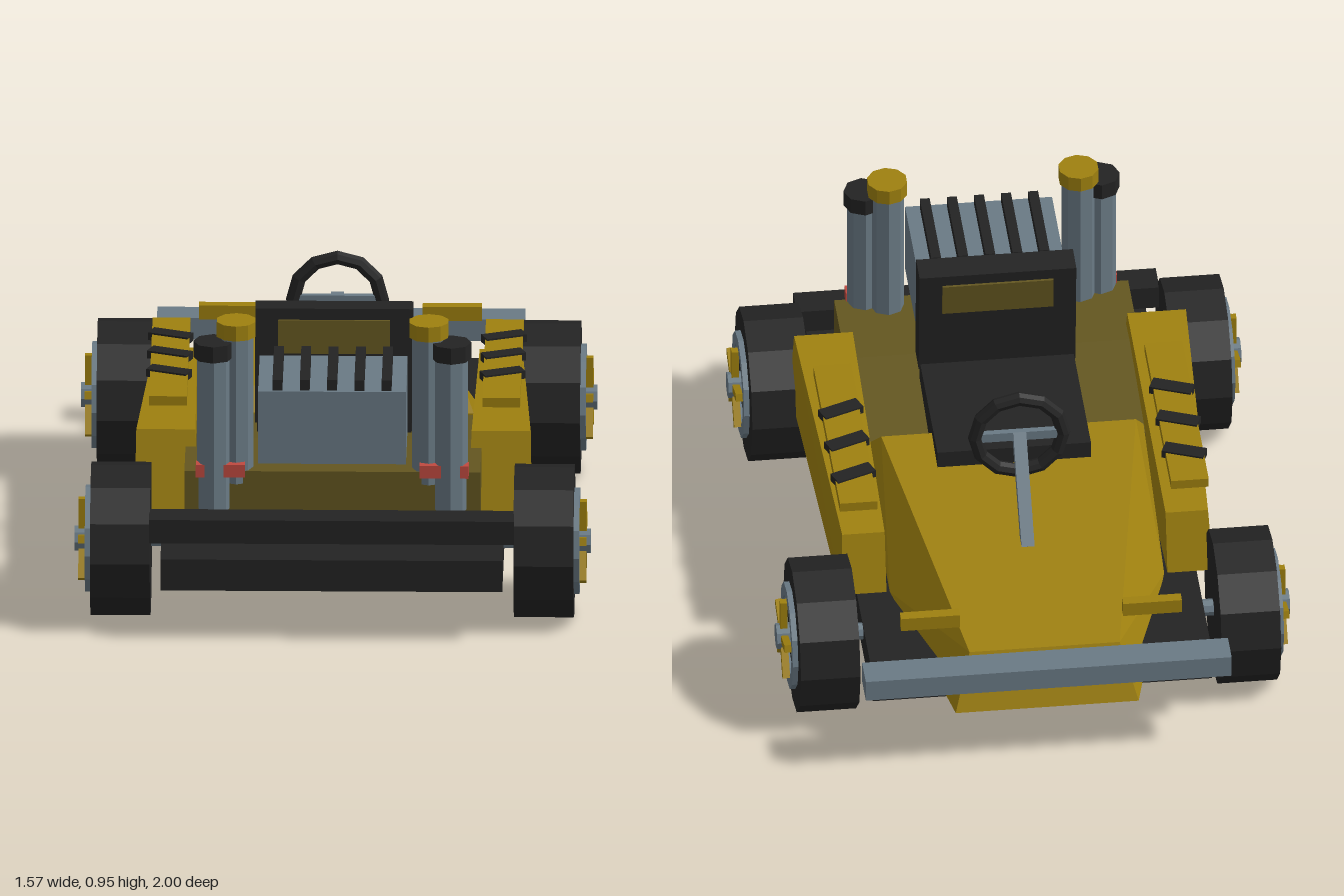
import * as THREE from 'three';
import { ConvexGeometry } from 'three/addons/geometries/ConvexGeometry.js';

const mat = (name, color) => {
  const m = new THREE.MeshStandardMaterial({ color });
  m.name = name;
  return m;
};

export function createModel() {
  const yellow = mat('yellow', 0x9e800f);
  const olive = mat('olive', 0x635620);
  const black = mat('black', 0x232323);
  const slate = mat('slate', 0x6a7a85);
  const red = mat('red', 0xc04a40);

  const root = new THREE.Group();
  root.name = 'goKart';

  // flat-faced mesh helpers
  const add = (name, geo, material, parent = root) => {
    const g = geo.index ? geo.toNonIndexed() : geo;
    g.computeVertexNormals();
    const m = new THREE.Mesh(g, material);
    m.name = name;
    parent.add(m);
    return m;
  };
  // box given by its min and max on each axis
  const box = (name, material, x0, x1, y0, y1, z0, z1, parent) => {
    const m = add(name, new THREE.BoxGeometry(x1 - x0, y1 - y0, z1 - z0), material, parent);
    m.position.set((x0 + x1) / 2, (y0 + y1) / 2, (z0 + z1) / 2);
    return m;
  };
  const post = (name, material, r, y0, y1, x, z, sides = 8) => {
    const m = add(name, new THREE.CylinderGeometry(r, r, y1 - y0, sides), material);
    m.position.set(x, (y0 + y1) / 2, z);
    return m;
  };
  const hull = (name, material, pts) =>
    add(name, new ConvexGeometry(pts.map((p) => new THREE.Vector3(...p))), material);
  const bothSides = (pts) => pts.flatMap(([x, y, z]) => [[x, y, z], [-x, y, z]]);

  // floor pan and bumpers
  box('floorPan', black, -0.52, 0.52, 0.165, 0.265, -0.83, 1.0);
  box('engineEndBumper', black, -0.555, 0.555, 0.31, 0.385, 0.88, 0.98);
  box('noseBumper', slate, -0.56, 0.56, 0.295, 0.365, -1.0, -0.9);

  // hood tapering to the nose
  hull('hood', yellow, bothSides([
    [0.23, 0.37, -0.89], [0.39, 0.495, 0.07],
    [0.28, 0.195, -0.96], [0.28, 0.195, -0.83],
    [0.42, 0.27, -0.42], [0.42, 0.27, 0.13], [0.42, 0.43, 0.13],
  ]));

  // cockpit floor and engine bay
  hull('engineBay', olive, bothSides([
    [0.45, 0.28, 0.1], [0.45, 0.42, 0.1], [0.45, 0.48, 0.5],
    [0.45, 0.48, 0.8], [0.45, 0.28, 0.8],
  ]));

  // seat
  box('seatCushion', black, -0.235, 0.235, 0.43, 0.53, -0.08, 0.4);
  const seatBack = new THREE.Group();
  seatBack.name = 'seatBack';
  seatBack.position.set(0, 0.695, 0.41);
  seatBack.rotation.x = -0.07;
  root.add(seatBack);
  box('backrest', black, -0.24, 0.24, -0.18, 0.18, -0.045, 0.045, seatBack);
  box('backrestPanel', olive, -0.17, 0.17, 0.04, 0.145, -0.053, 0.053, seatBack);

  // engine block with cooling fins
  box('engineBlock', slate, -0.225, 0.225, 0.53, 0.763, 0.545, 0.87);
  for (let i = -2; i <= 2; i++) {
    box('engineFin', black, i * 0.083 - 0.015, i * 0.083 + 0.015, 0.76, 0.797, 0.555, 0.86);
  }

  // steering wheel, spoke and column
  const steering = add('steeringWheel', new THREE.TorusGeometry(0.135, 0.022, 8, 12), black);
  steering.position.set(0, 0.675, -0.21);
  box('steeringSpoke', slate, -0.125, 0.125, 0.66, 0.69, -0.22, -0.2);
  const column = add('steeringColumn', new THREE.BoxGeometry(0.04, 0.035, 0.35), slate);
  column.position.set(0, 0.55, -0.325);
  column.rotation.x = -Math.atan2(0.27, 0.23);

  // axles
  for (const z of [0.73, -0.565]) {
    const axle = add('axle', new THREE.CylinderGeometry(0.026, 0.026, 1.5, 8).rotateZ(Math.PI / 2), slate);
    axle.position.set(0, 0.237, z);
  }

  // wheel with rim ring, five spokes and hub, facing +x
  const polygon = (shape, r) => {
    const pts = [];
    for (let i = 0; i < 12; i++) {
      const a = (i * Math.PI) / 6;
      pts.push(new THREE.Vector2(r * Math.cos(a), r * Math.sin(a)));
    }
    return shape.setFromPoints(pts);
  };
  const disc = (r, x0, x1, sides) =>
    new THREE.CylinderGeometry(r, r, x1 - x0, sides).rotateZ(Math.PI / 2).translate((x0 + x1) / 2, 0, 0);
  const makeWheel = (s, z) => {
    const w = new THREE.Group();
    w.name = 'wheel';
    w.position.set(0, 0.237, z);
    w.rotation.y = s > 0 ? 0 : Math.PI;
    root.add(w);
    add('tyre', disc(0.237, 0.553, 0.735, 12), black, w);
    const ring = polygon(new THREE.Shape(), 0.165);
    ring.holes.push(polygon(new THREE.Path(), 0.125));
    const ringGeo = new THREE.ExtrudeGeometry(ring, { depth: 0.022, bevelEnabled: false });
    add('rim', ringGeo.rotateY(Math.PI / 2).translate(0.73, 0, 0), slate, w);
    for (let i = 0; i < 5; i++) {
      const spoke = new THREE.BoxGeometry(0.022, 0.12, 0.024).translate(0.762, 0.07, 0);
      add('spoke', spoke.rotateX((i * Math.PI * 2) / 5), yellow, w);
    }
    add('hub', disc(0.04, 0.73, 0.785, 8), slate, w);
  };

  for (const s of [1, -1]) {
    makeWheel(s, 0.733);
    makeWheel(s, -0.562);

    // side pod with cap and slats
    hull('sidePod', yellow, [
      [0.43, 0.46, -0.37], [0.56, 0.46, -0.37], [0.43, 0.27, -0.42], [0.57, 0.27, -0.42],
      [0.42, 0.53, 0.565], [0.6, 0.53, 0.565], [0.41, 0.27, 0.635], [0.605, 0.27, 0.635],
    ].map(([x, y, z]) => [s * x, y, z]));
    const cap = add('podCap', new THREE.BoxGeometry(0.115, 0.03, 0.71), yellow);
    cap.position.set(s * 0.507, 0.548, 0.005);
    for (const z of [-0.2, -0.035, 0.13]) {
      const slat = add('podSlat', new THREE.BoxGeometry(0.13, 0.025, 0.05), black);
      slat.position.set(s * 0.507, 0.556, z);
      slat.rotation.y = s * 0.38;
    }

    // small nose fins
    const fin = add('noseFin', new THREE.BoxGeometry(0.18, 0.045, 0.035), yellow);
    fin.position.set(s * 0.34, 0.428, -0.79);

    // exhaust stacks, caps and clamp
    post('innerStack', slate, 0.052, 0.44, 0.91, s * 0.293, 0.757);
    post('innerStackCap', yellow, 0.062, 0.905, 0.953, s * 0.293, 0.757, 10);
    post('outerStack', slate, 0.052, 0.36, 0.85, s * 0.36, 0.79);
    post('outerStackCap', black, 0.061, 0.845, 0.897, s * 0.362, 0.79);
    const clamp = add('stackClamp', new THREE.BoxGeometry(0.15, 0.04, 0.04), red);
    clamp.position.set(s * 0.34, 0.49, 0.81);
  }
  return root;
}
